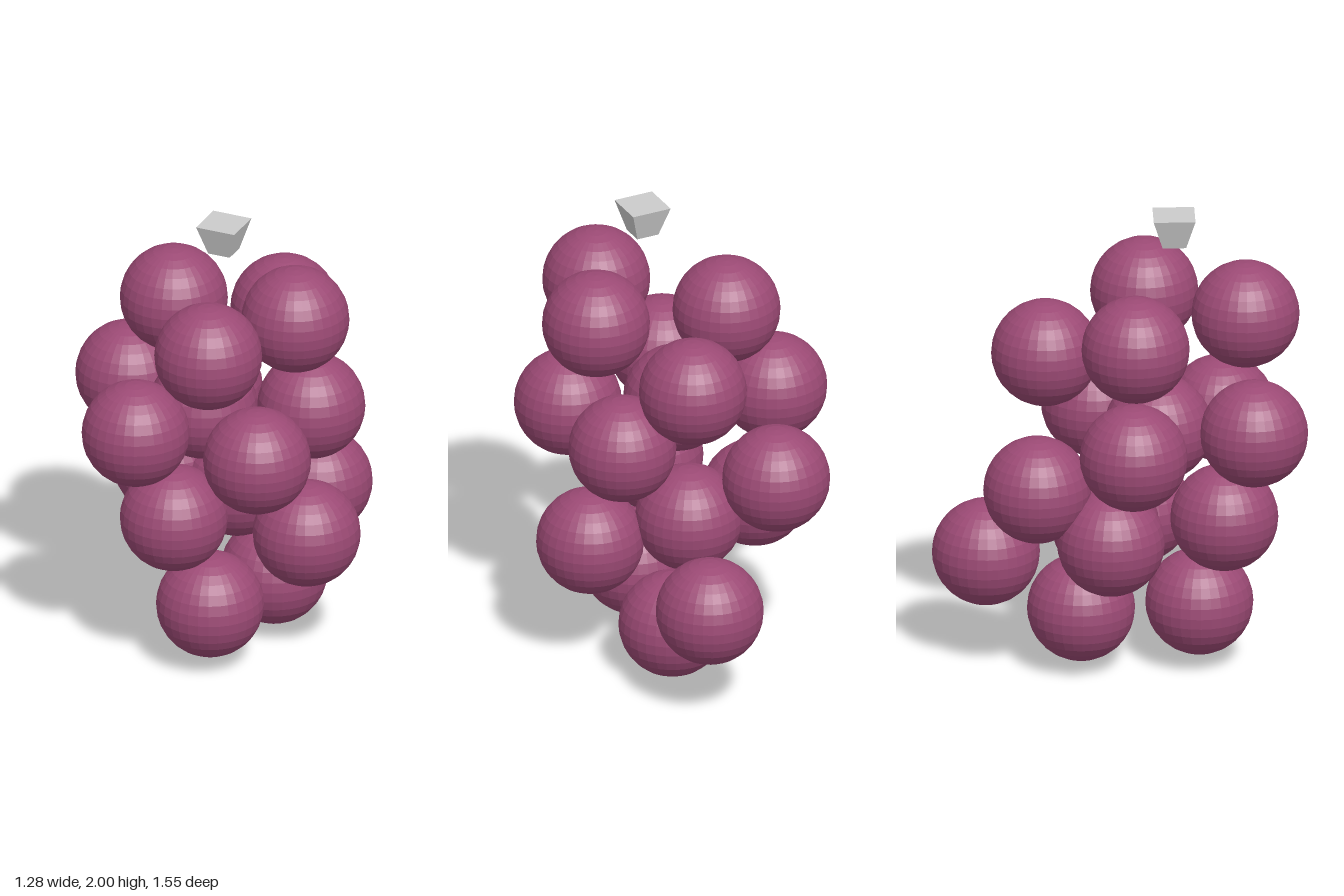
import * as THREE from 'three';

export function createModel() {
  const model = new THREE.Group();
  model.name = 'grapeBunch';

  const grapeSkin = new THREE.MeshStandardMaterial({ color: 0x9c4a75, flatShading: true });
  grapeSkin.name = 'grapePurple';
  const stemGrey = new THREE.MeshStandardMaterial({ color: 0xcccccc, flatShading: true });
  stemGrey.name = 'stemGrey';

  // Grape centres, from the top of the bunch down
  const centres = [
    [0.37, 1.56, 0.11], [0.16, 1.53, 0.525], [-0.21, 1.52, 0.055], [0.13, 1.38, -0.31],
    [-0.42, 1.12, 0.04], [-0.16, 1.12, 0.55], [-0.03, 1.10, 0.155],
    [0.35, 1.065, -0.095], [0.34, 1.04, 0.43], [-0.235, 0.91, -0.355],
    [-0.04, 0.70, 0.43], [-0.29, 0.69, -0.05], [0.025, 0.655, -0.065], [0.41, 0.565, 0.085],
    [0.175, 0.475, -0.555], [0.08, 0.28, 0.33], [0.15, 0.23, -0.16],
  ];
  const grapeShape = new THREE.SphereGeometry(0.225, 32, 16);
  const grapes = new THREE.Group();
  grapes.name = 'grapes';
  centres.forEach(([x, y, z], i) => {
    const grape = new THREE.Mesh(grapeShape, grapeSkin);
    grape.name = `grape${i + 1}`;
    grape.position.set(x, y, z);
    grapes.add(grape);
  });
  model.add(grapes);

  // Square stem, tapering downwards
  const stemShape = new THREE.CylinderGeometry(0.087 * Math.SQRT2, 0.049 * Math.SQRT2, 0.13, 4);
  stemShape.rotateY(Math.PI / 4);
  const stem = new THREE.Mesh(stemShape, stemGrey);
  stem.name = 'stem';
  stem.position.set(0.095, 1.935, 0.225);
  model.add(stem);

  return model;
}
